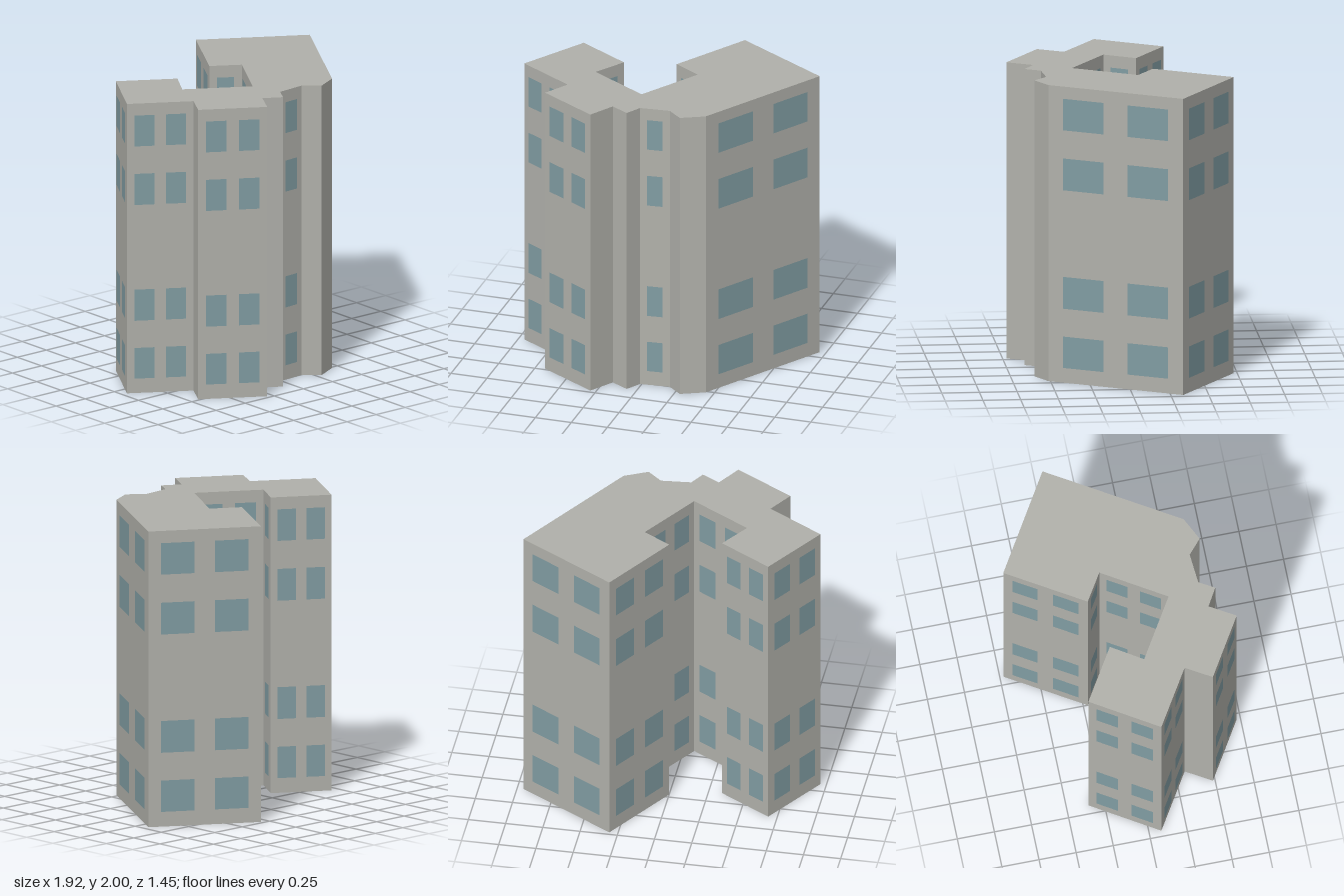
import * as THREE from 'three';

// Footprint corners [x, z], clockwise seen from above, with the number of
// window columns on the wall from this corner to the next.
const PLAN = [
  [-0.69, -0.355, 2], [-0.34, -0.14, 1], [-0.47, 0.065, 2], [-0.07, 0.31, 2],
  [0.185, -0.105, 1], [0.0, -0.22, 2], [0.308, -0.727, 2], [0.957, -0.332, 2],
  [0.443, 0.515, 0], [0.288, 0.592, 0], [0.19, 0.505, 1], [-0.01, 0.522, 0],
  [-0.07, 0.625, 0], [-0.19, 0.555, 0], [-0.29, 0.725, 2], [-0.683, 0.485, 0],
  [-0.582, 0.315, 2], [-0.96, 0.082, 2],
];
const HEIGHT = 2;
const ROWS = [[0.1, 0.312], [0.5, 0.715], [1.3, 1.515], [1.705, 1.918]];
// Start and end of each window along its wall, as fractions of the wall
const COLUMNS = { 0: [], 1: [[0.24, 0.77]], 2: [[0.11, 0.41], [0.59, 0.89]] };

export function createModel() {
  const wallMaterial = new THREE.MeshStandardMaterial({ color: 0xb0b0aa });
  wallMaterial.name = 'concrete grey';
  const glassMaterial = new THREE.MeshStandardMaterial({ color: 0x809ca2 });
  glassMaterial.name = 'window blue';

  const model = new THREE.Group();
  model.name = 'apartmentBlock';

  // Tower body: the footprint raised to full height
  const shape = new THREE.Shape(PLAN.map(([x, z]) => new THREE.Vector2(x, -z)));
  const bodyGeometry = new THREE.ExtrudeGeometry(shape, { depth: HEIGHT, bevelEnabled: false });
  bodyGeometry.rotateX(-Math.PI / 2);
  const body = new THREE.Mesh(bodyGeometry, wallMaterial);
  body.name = 'towerBody';
  model.add(body);

  // Windows: flat panes just proud of each wall
  const windows = new THREE.Group();
  windows.name = 'windows';
  PLAN.forEach(([x0, z0, count], i) => {
    const [x1, z1] = PLAN[(i + 1) % PLAN.length];
    const dx = x1 - x0, dz = z1 - z0, length = Math.hypot(dx, dz);
    const nx = dz / length, nz = -dx / length;
    for (const [a, b] of COLUMNS[count]) {
      for (const [low, high] of ROWS) {
        const pane = new THREE.Mesh(
          new THREE.PlaneGeometry((b - a) * length, high - low), glassMaterial);
        const t = (a + b) / 2;
        pane.position.set(x0 + dx * t + nx * 0.003, (low + high) / 2, z0 + dz * t + nz * 0.003);
        pane.rotation.y = Math.atan2(nx, nz);
        pane.name = 'windowPane';
        windows.add(pane);
      }
    }
  });
  model.add(windows);
  return model;
}
